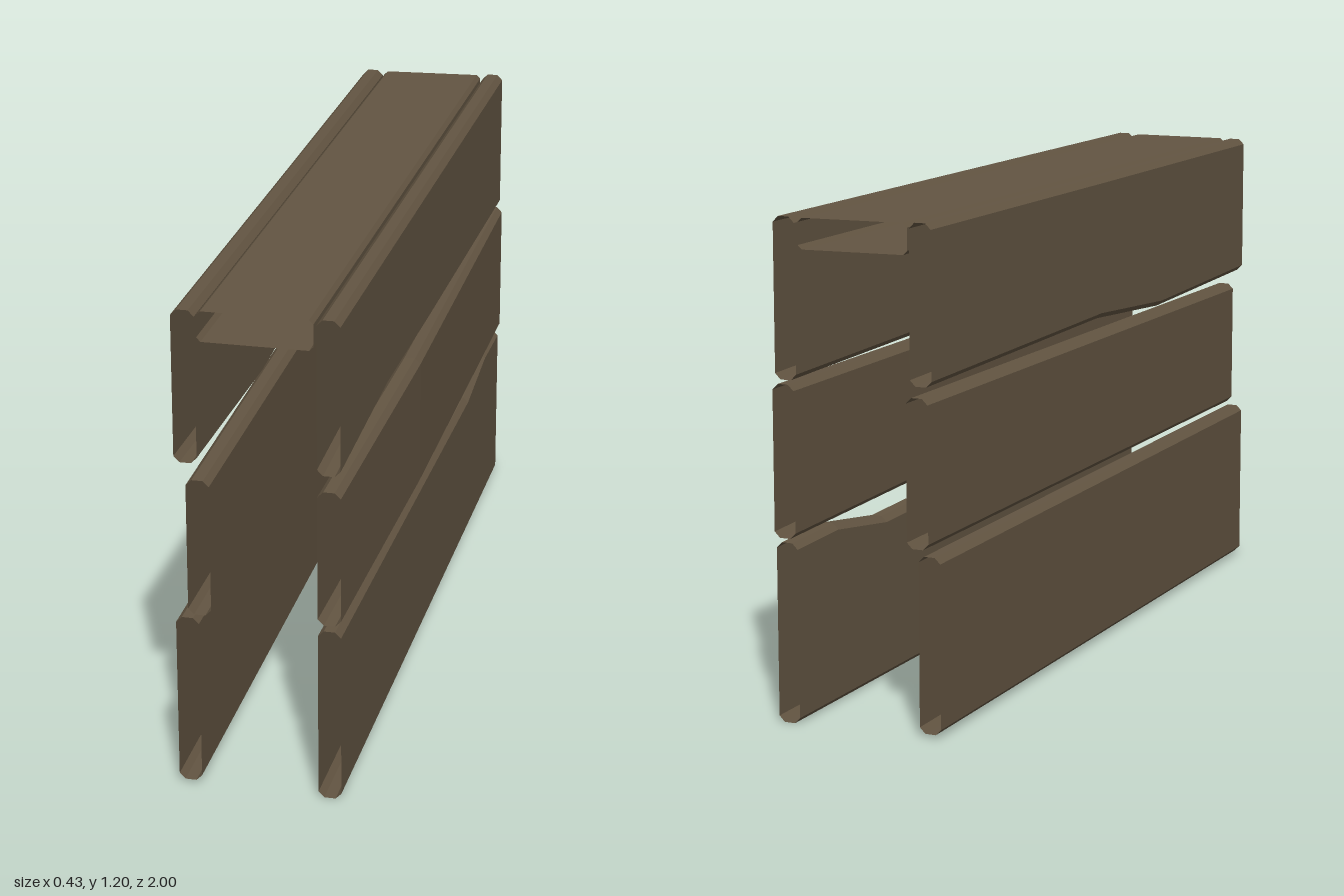
import * as THREE from 'three';

const wood = new THREE.MeshStandardMaterial({ color: 0x635542, side: THREE.DoubleSide });
wood.name = 'weathered wood';

// Hollow chamfered board, open at both ends, running along z.
// Each station: [z, centre x, bottom y, top y]; skew tilts the back end across x.
function board(name, width, stations, chamfer = 0.014, skew = 0) {
  const rings = stations.map(([z, cx, y0, y1], i) => {
    const a = cx - width / 2, b = cx + width / 2, c = chamfer;
    const slant = i === stations.length - 1 ? skew : 0;
    return [
      [a + c, y0], [b - c, y0], [b, y0 + c], [b, y1 - c],
      [b - c, y1], [a + c, y1], [a, y1 - c], [a, y0 + c],
    ].map(([x, y]) => [x, y, z - slant * (x - cx) / width]);
  });
  const pos = [];
  for (let i = 0; i < rings.length - 1; i++) {
    for (let j = 0; j < 8; j++) {
      const k = (j + 1) % 8;
      const [p, q, r, s] = [rings[i][j], rings[i + 1][j], rings[i + 1][k], rings[i][k]];
      pos.push(...p, ...r, ...q, ...p, ...s, ...r);
    }
  }
  const g = new THREE.BufferGeometry();
  g.setAttribute('position', new THREE.Float32BufferAttribute(pos, 3));
  g.computeVertexNormals();
  const mesh = new THREE.Mesh(g, wood);
  mesh.name = name;
  return mesh;
}

export function createModel() {
  const group = new THREE.Group();
  group.name = 'plankPost';
  const w = 0.055;

  // Boards on the +x side
  group.add(
    board('leftLowerBoard', w, [
      [1, 0.167, 0, 0.435], [-0.55, 0.167, 0, 0.405],
      [-0.8, 0.167, 0, 0.44], [-1, 0.167, 0, 0.435],
    ]),
    board('leftMiddleBoard', w, [
      [1, 0.167, 0.45, 0.785], [0.2, 0.185, 0.465, 0.808], [-1, 0.172, 0.445, 0.81],
    ]),
    board('leftUpperBoard', w, [
      [1, 0.167, 0.825, 1.2], [0.5, 0.167, 0.85, 1.2],
      [0, 0.167, 0.837, 1.2], [-0.995, 0.167, 0.82, 1.2],
    ]),
  );

  // Boards on the -x side
  group.add(
    board('rightLowerBoard', w, [[1, -0.172, 0.008, 0.435], [-0.97, -0.188, 0.008, 0.43]]),
    board('rightMiddleBoard', w, [[1, -0.142, 0.445, 0.785], [-0.97, -0.158, 0.445, 0.798]]),
    board('rightUpperBoard', w, [
      [1, -0.169, 0.827, 1.198], [0.4, -0.169, 0.812, 1.198],
      [0, -0.169, 0.838, 1.198], [-0.97, -0.169, 0.825, 1.2],
    ]),
  );

  // Flat board bridging the two upper boards
  group.add(board('topBoard', 0.27, [[1, -0.002, 1.125, 1.198], [-0.98, -0.002, 1.125, 1.198]], 0.01, 0.02));
  return group;
}
